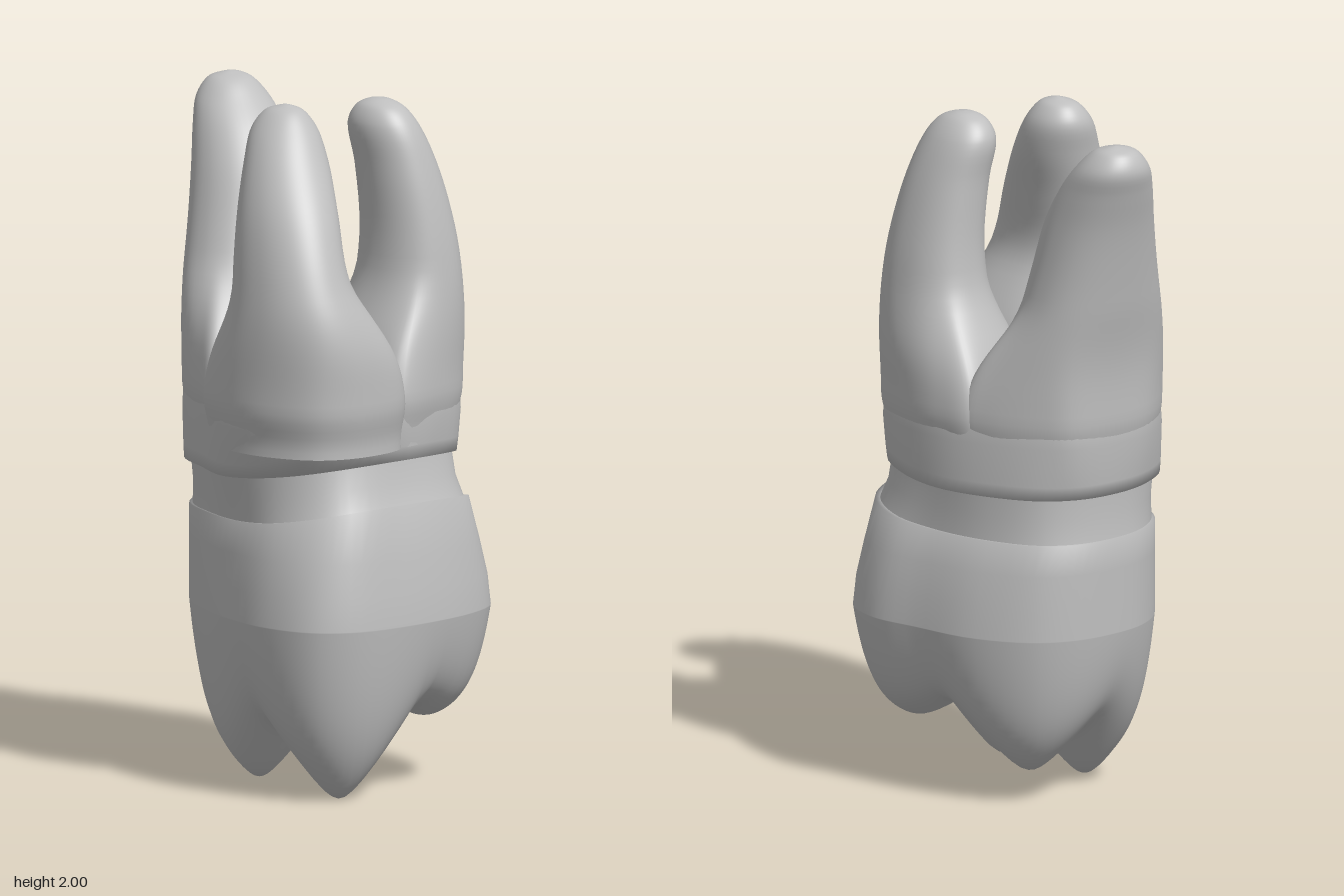
import * as THREE from 'three';

const SEG = 72;
const CX = 0.06; // axis the outlines shrink towards
const { smoothstep, lerp } = THREE.MathUtils;

// Smooth closed outline sampled from a few [x, z] points
function outline(points) {
  const curve = new THREE.CatmullRomCurve3(points.map(([x, z]) => new THREE.Vector3(x, 0, z)), true);
  return Array.from({ length: SEG }, (_, i) => curve.getPoint(i / SEG));
}

// Shrink an outline about the axis and set each height by a rule
const ring = (pts, s, height) => pts.map((p) => {
  const x = CX + (p.x - CX) * s, z = p.z * s;
  return new THREE.Vector3(x, typeof height === 'function' ? height(x, z) : height, z);
});

const blend = (a, b, t) => a.map((p, i) => p.clone().lerp(b[i], t));

// Skin a stack of rings, ordered from bottom to top
function loft(name, rings, material) {
  const pos = [], index = [];
  rings.forEach((r) => r.forEach((p) => pos.push(p.x, p.y, p.z)));
  for (let i = 0; i < rings.length - 1; i++) {
    for (let j = 0; j < SEG; j++) {
      const k = (j + 1) % SEG;
      const a = i * SEG + j, b = i * SEG + k, c = a + SEG, d = b + SEG;
      index.push(a, c, b, b, c, d);
    }
  }
  const geo = new THREE.BufferGeometry();
  geo.setAttribute('position', new THREE.Float32BufferAttribute(pos, 3));
  geo.setIndex(index);
  geo.computeVertexNormals();
  const mesh = new THREE.Mesh(geo, material);
  mesh.name = name;
  return mesh;
}

// Root that starts as a sector of the trunk and narrows into an oval finger,
// following stations [y, xMin, xMax, zMin, zMax] to a rounded tip
function root(name, sectorPoints, stations, material) {
  const sector = outline(sectorPoints);
  const centre = sector.reduce((sum, p) => sum.add(p), new THREE.Vector3()).divideScalar(SEG);
  const path = (a, b) => new THREE.CatmullRomCurve3(stations.map((s) => new THREE.Vector3(s[a], s[0], s[b])));
  const low = path(1, 3), high = path(2, 4);
  const rings = [];
  const n = 48;
  for (let i = 0; i <= n; i++) {
    const a = low.getPoint(i / n), b = high.getPoint(i / n);
    const y = (a.y + b.y) / 2;
    const e = 0.85 + 0.15 * (i / n); // squarer near the base
    const finger = smoothstep(y, 1.14, 1.52);
    const tuck = 0.95 + 0.05 * smoothstep(y, 1.04, 1.16);
    rings.push(ring(sector, tuck, y).map((p, j) => {
      const t = Math.atan2(sector[j].z - centre.z, sector[j].x - centre.x);
      const c = Math.cos(t), s = Math.sin(t);
      const x = (a.x + b.x) / 2 + ((b.x - a.x) / 2) * Math.sign(c) * Math.abs(c) ** e;
      const z = (a.z + b.z) / 2 + ((b.z - a.z) / 2) * Math.sign(s) * Math.abs(s) ** e;
      return p.lerp(new THREE.Vector3(x, y, z), finger);
    }));
  }
  return loft(name, rings, material);
}

// Cusps of the biting surface: [x, z, tip height, slope, rounding]
const CUSPS = [[0.31, 0.15, 0.0, 1.35, 0.04], [-0.05, 0.13, 0.015, 1.3, 0.04],
  [-0.12, -0.15, 0.09, 1.15, 0.05], [0.27, -0.22, 0.195, 0.75, 0.07]];

// Cones around the cusps joined with a smooth minimum
function bite(x, z) {
  let sum = 0;
  for (const [cx, cz, y, slope, r] of CUSPS) {
    sum += Math.exp(-35 * (y + slope * (Math.hypot(x - cx, z - cz, r) - r)));
  }
  return Math.max(0, Math.min(0.46, -Math.log(sum) / 35));
}

export function createModel() {
  const model = new THREE.Group();
  model.name = 'molar';
  const enamel = new THREE.MeshStandardMaterial({ color: 0xbfbfbf });
  enamel.name = 'tooth grey';

  // Crown: biting surface from its centre outwards, then the side wall up to the rim
  const waist = outline([[0.505, 0.06], [0.48, 0.24], [0.4, 0.34], [0.25, 0.38], [0.08, 0.36], [-0.1, 0.3],
    [-0.25, 0.22], [-0.33, 0.1], [-0.35, -0.02], [-0.33, -0.17], [-0.26, -0.28], [-0.1, -0.37],
    [0.1, -0.4], [0.26, -0.415], [0.4, -0.36], [0.48, -0.2]]);
  const rim = outline([[0.45, 0.02], [0.44, 0.2], [0.36, 0.29], [0.23, 0.34], [0.06, 0.33], [-0.1, 0.29],
    [-0.25, 0.22], [-0.33, 0.1], [-0.35, -0.02], [-0.33, -0.15], [-0.26, -0.25], [-0.1, -0.32],
    [0.1, -0.35], [0.24, -0.36], [0.36, -0.31], [0.43, -0.17]]);
  const rimY = (x) => 0.8 + 0.3 * Math.max(0, x) ** 2;
  const crown = [];
  for (let i = 0; i <= 40; i++) {
    const s = Math.sin((i / 40) * Math.PI / 2);
    crown.push(ring(waist, s, (x, z) => lerp(bite(x, z), 0.52, s ** 14)));
  }
  crown.push(ring(blend(waist, rim, 0.15), 1, 0.61), ring(blend(waist, rim, 0.5), 1, 0.71),
    ring(rim, 1, rimY), ring(rim, 0.94, rimY));
  model.add(loft('crown', crown, enamel));

  // Neck: slightly waisted band between crown and roots
  const base = outline([[0.41, 0], [0.4, 0.18], [0.34, 0.28], [0.22, 0.35], [0.06, 0.37], [-0.1, 0.31],
    [-0.25, 0.24], [-0.33, 0.1], [-0.35, -0.02], [-0.33, -0.15], [-0.26, -0.25], [-0.1, -0.33],
    [0.05, -0.36], [0.2, -0.35], [0.32, -0.3], [0.385, -0.15]]);
  const baseY = (x) => 0.935 + 0.28 * Math.max(0, x) ** 2;
  model.add(loft('neck', [
    ring(rim, 0.975, (x) => rimY(x) - 0.01),
    ring(blend(rim, base, 0.5), 0.95, (x) => (rimY(x) + baseY(x)) / 2),
    ring(base, 0.955, (x) => baseY(x) + 0.03)], enamel));

  // Root trunk: flares above the rim and closes in a low saddle between the roots
  const flare = outline([[0.43, 0.03], [0.47, 0.2], [0.42, 0.33], [0.26, 0.405], [0.08, 0.4], [-0.1, 0.31],
    [-0.27, 0.23], [-0.36, 0.1], [-0.37, -0.04], [-0.34, -0.19], [-0.26, -0.26], [-0.1, -0.335],
    [0.04, -0.37], [0.2, -0.36], [0.33, -0.31], [0.395, -0.17]]);
  model.add(loft('rootTrunk', [
    ring(base, 0.93, (x) => baseY(x) + 0.005), ring(base, 1, baseY),
    ring(blend(base, flare, 0.35), 1, (x) => baseY(x) + 0.04),
    ring(blend(base, flare, 0.85), 1, 1.09), ring(flare, 0.985, 1.16), ring(flare, 0.95, 1.21),
    ring(flare, 0.85, 1.25), ring(flare, 0.6, 1.28), ring(flare, 0.3, 1.29), ring(flare, 0, 1.29)], enamel));

  // Three roots curving up from the trunk
  model.add(root('frontRoot',
    [[0.43, 0.0], [0.475, 0.2], [0.42, 0.335], [0.26, 0.41], [0.08, 0.405], [-0.06, 0.335],
      [-0.04, 0.18], [0.02, 0.03], [0.2, -0.01]], [
      [1.02, 0.02, 0.4, 0.04, 0.35], [1.12, 0.0, 0.46, 0.02, 0.4], [1.25, 0.0, 0.477, 0.03, 0.415],
      [1.4, 0.035, 0.45, 0.08, 0.41], [1.55, 0.035, 0.4, 0.12, 0.39], [1.7, 0.02, 0.335, 0.1, 0.355],
      [1.84, 0.0, 0.25, 0.07, 0.3], [1.93, -0.01, 0.19, 0.07, 0.25], [1.98, 0.02, 0.145, 0.1, 0.205],
      [1.995, 0.06, 0.11, 0.13, 0.17], [2.0, 0.085, 0.085, 0.15, 0.15]], enamel));
  model.add(root('backRoot',
    [[0.42, 0.02], [0.2, 0.01], [0.02, -0.03], [-0.06, -0.18], [-0.08, -0.335], [0.04, -0.372],
      [0.2, -0.363], [0.335, -0.31], [0.4, -0.17]], [
      [1.02, 0.0, 0.34, -0.32, -0.04], [1.12, -0.03, 0.38, -0.36, -0.02], [1.25, 0.0, 0.395, -0.37, -0.02],
      [1.4, 0.04, 0.39, -0.35, -0.06], [1.6, 0.07, 0.37, -0.325, -0.08], [1.8, 0.07, 0.33, -0.28, -0.07],
      [1.92, 0.06, 0.29, -0.235, -0.06], [1.97, 0.09, 0.25, -0.2, -0.08],
      [1.99, 0.13, 0.2, -0.17, -0.11], [1.995, 0.165, 0.165, -0.14, -0.14]].map((s) => s), enamel));
  model.add(root('sideRoot',
    [[0.02, 0.0], [0.0, 0.2], [-0.03, 0.33], [-0.12, 0.305], [-0.27, 0.23], [-0.36, 0.1], [-0.373, -0.04],
      [-0.34, -0.19], [-0.26, -0.262], [-0.12, -0.33], [-0.03, -0.34], [0.0, -0.2]], [
      [1.02, -0.33, -0.04, -0.23, 0.23], [1.15, -0.37, 0.0, -0.28, 0.26], [1.3, -0.385, -0.02, -0.27, 0.24],
      [1.45, -0.405, -0.07, -0.25, 0.2], [1.6, -0.43, -0.115, -0.23, 0.15], [1.75, -0.46, -0.165, -0.215, 0.1],
      [1.86, -0.49, -0.235, -0.205, 0.055], [1.93, -0.507, -0.3, -0.195, 0.015], [1.98, -0.485, -0.355, -0.16, -0.03],
      [1.995, -0.45, -0.4, -0.13, -0.07], [2.0, -0.425, -0.425, -0.1, -0.1]], enamel));

  return model;
}
